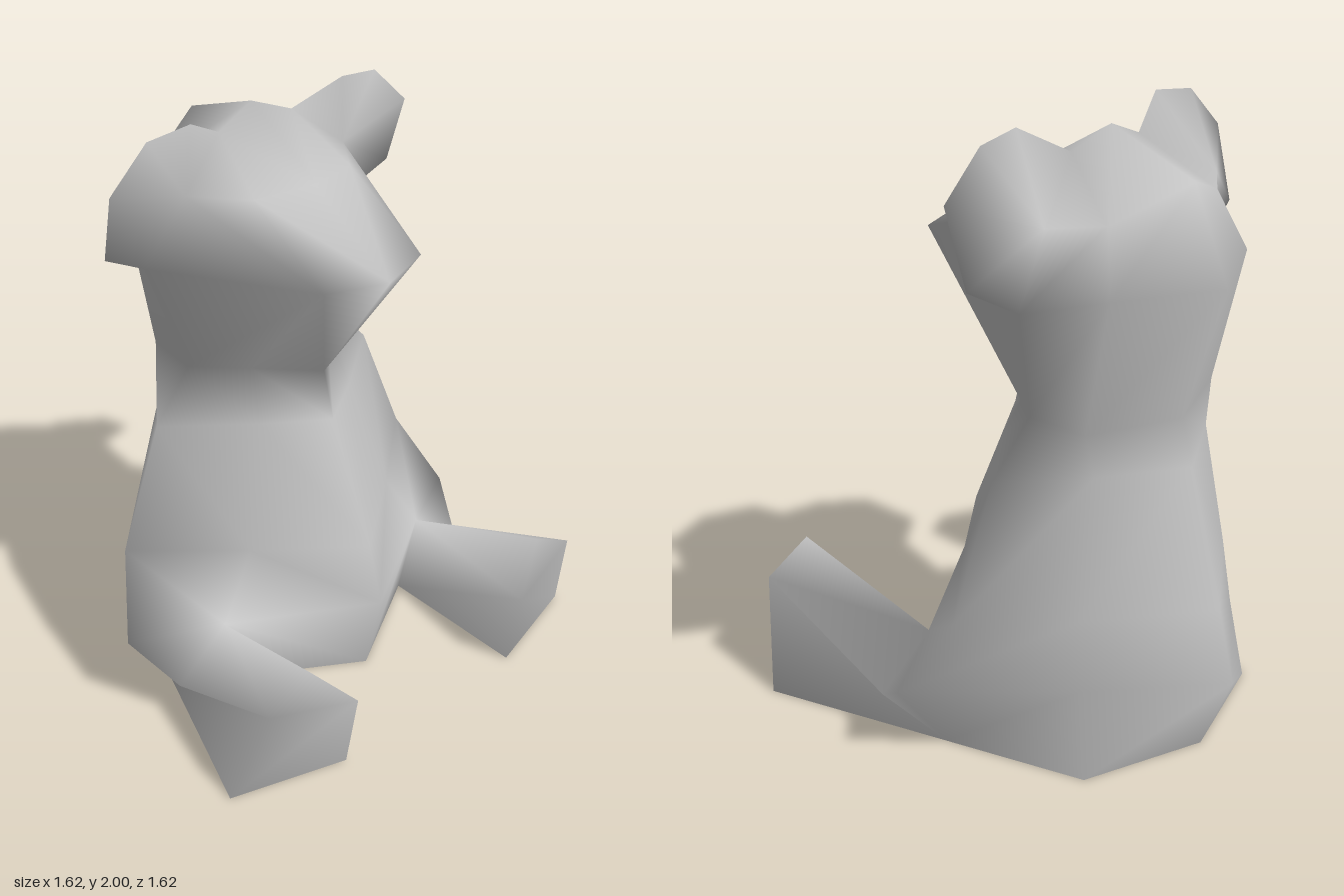
import * as THREE from 'three';

// Thin skin, open underneath
const fur = new THREE.MeshStandardMaterial({ color: 0xc0c0c0, side: THREE.DoubleSide });
fur.name = 'grey fur';

// Left half of the skin as [side, up, forward]; it is mirrored across side = 0.
// Each level runs from the front centre round to the back centre.
const levels = {
  a: [[0, 0, 0.134], [0.39, 0, -0.105], [0.57, 0, -0.286], [0.41, 0, -0.74], [0, 0, -0.88]],
  b: [[0, 0.31, 0.205], [0.46, 0.285, -0.09], [0.75, 0.26, -0.255], [0.38, 0.29, -0.69], [0, 0.28, -0.99]],
  c: [[0, 0.52, 0.15], [0.32, 0.52, -0.11], [0.64, 0.52, -0.395], [0.36, 0.52, -0.66], [0, 0.52, -0.925]],
  d: [[0, 0.95, -0.04], [0.2, 0.95, -0.18], [0.47, 0.95, -0.4], [0.27, 0.97, -0.63], [0, 0.97, -0.79]],
  neck: [[0, 1.12, -0.085], [0.17, 1.12, -0.26], [0.32, 1.12, -0.41], [0.3, 1.12, -0.62], [0, 1.12, -0.745]],
  cheek: [[0, 1.57, 0.226], [0.205, 1.57, 0.15], [0.43, 1.5, -0.47], [0.318, 1.57, -0.714], [0, 1.57, -0.884]],
};
const points = {
  // foot and knee
  innerSole: [0.39, 0, 0.46], innerToe: [0.389, 0.3, 0.516], toeTip: [0.53, 0.455, 0.445],
  outerToe: [0.7, 0.365, 0.445], outerSole: [0.79, 0, 0.339], knee: [0.665, 0.13, -0.085],
  // brow and crown
  brow: [0, 1.785, -0.12], browSide: [0.2, 1.77, -0.18], crown: [0, 1.97, -0.43],
  nape: [0, 1.86, -0.75], napeSide: [0.25, 1.76, -0.64],
  // ear: hollow, back and rim
  hollow: [0.33, 1.76, -0.36], earBack: [0.39, 1.76, -0.53], earRoot: [0.15, 1.91, -0.41],
  rim1: [0.31, 2, -0.34], rim2: [0.467, 1.98, -0.354], rim3: [0.612, 1.84, -0.357], rim4: [0.6, 1.6, -0.43],
};
for (const [name, row] of Object.entries(levels)) row.forEach((p, i) => { points[name + i] = p; });

// Quads between two levels
const band = (low, high, columns = [0, 1, 2, 3]) =>
  columns.map((i) => [low + i, low + (i + 1), high + (i + 1), high + i]);
const words = (lines) => lines.map((line) => line.split(' '));

// Faces of each part, as corner names; each face fans out from its first corner
const parts = {
  body: [...band('a', 'b', [0, 2, 3]), ...band('b', 'c'), ...band('c', 'd'), ...band('d', 'neck')],
  leg: words([
    'a1 innerSole innerToe b1', 'b1 innerToe toeTip', 'b1 toeTip outerToe knee',
    'outerToe outerSole a2 knee', 'knee a2 b2', 'b1 knee b2',
    'innerToe innerSole outerSole outerToe toeTip',
  ]),
  head: [...band('neck', 'cheek', [0, 2, 3]), ...words([
    'neck2 cheek2 cheek1 neck1',
    'cheek0 cheek1 browSide brow', 'cheek1 cheek2 hollow browSide', 'browSide hollow earRoot',
    'brow browSide earRoot crown', 'crown earRoot napeSide nape', 'cheek3 cheek4 nape napeSide',
    'cheek2 cheek3 napeSide earBack', 'earBack napeSide earRoot',
  ])],
  ear: words([
    'hollow cheek2 rim4 rim3 rim2 rim1 earRoot',
    'earBack earRoot rim1 rim2 rim3 rim4 cheek2',
  ]),
};

export function createModel() {
  const group = new THREE.Group();
  group.name = 'sittingBear';
  const bear = new THREE.Group();
  bear.name = 'bear';
  bear.rotation.y = Math.PI / 4;
  group.add(bear);

  // Shared corners, with centre-line corners used by both halves
  const position = [], left = {}, right = {};
  const addCorner = (x, y, z) => position.push(x, y, z) / 3 - 1;
  for (const [name, [x, y, z]] of Object.entries(points)) {
    left[name] = addCorner(x, y, z);
    right[name] = x === 0 ? left[name] : addCorner(-x, y, z);
  }
  const triangles = (faces, corner) => faces.flatMap((face) => {
    const ids = face.map((name) => corner[name]);
    return ids.slice(2).flatMap((id, i) =>
      (corner === left ? [ids[0], ids[i + 1], id] : [ids[0], id, ids[i + 1]]));
  });

  // Normals are worked out over the whole skin so the parts blend smoothly
  const skin = new THREE.BufferGeometry();
  skin.setAttribute('position', new THREE.Float32BufferAttribute(position, 3));
  const all = Object.values(parts).flat();
  skin.setIndex([...triangles(all, left), ...triangles(all, right)]);
  skin.computeVertexNormals();

  const addPart = (name, index) => {
    const geo = new THREE.BufferGeometry();
    geo.setAttribute('position', skin.getAttribute('position'));
    geo.setAttribute('normal', skin.getAttribute('normal'));
    geo.setIndex(index);
    const mesh = new THREE.Mesh(geo, fur);
    mesh.name = name;
    bear.add(mesh);
  };
  for (const [name, faces] of Object.entries(parts)) {
    const l = triangles(faces, left), r = triangles(faces, right);
    if (name === 'leg' || name === 'ear') {
      addPart(name + 'Left', l);
      addPart(name + 'Right', r);
    } else {
      addPart(name, [...l, ...r]);
    }
  }
  return group;
}
